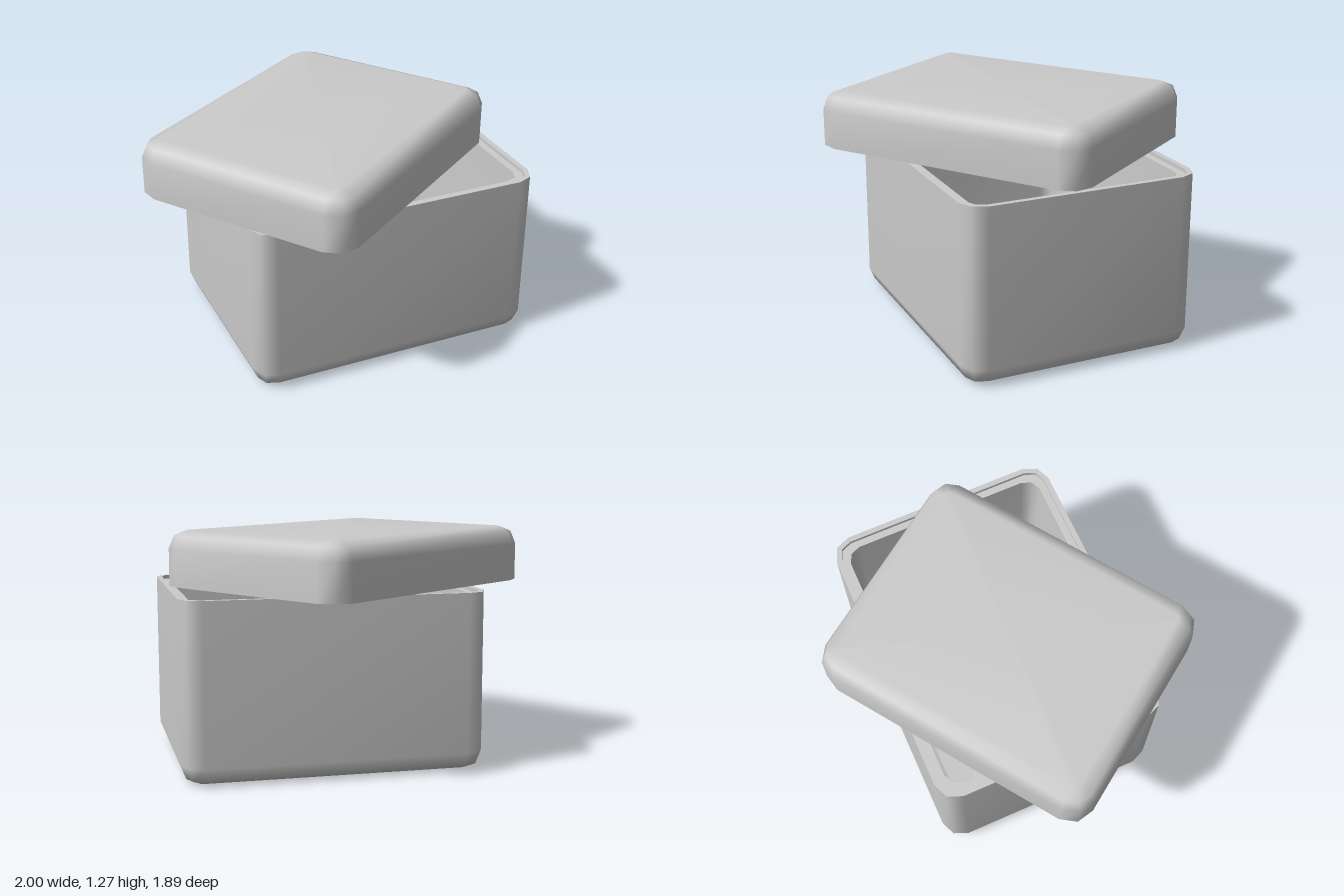
import * as THREE from 'three';
import { mergeGeometries } from 'three/addons/utils/BufferGeometryUtils.js';

// Rounded rectangle of half-size (hw, hd), corner radius r, each corner in two facets
function ring(hw, hd, r, y) {
  const pts = [];
  const signs = [[1, 1], [-1, 1], [-1, -1], [1, -1]];
  signs.forEach(([sx, sz], q) => {
    for (let k = 0; k <= 2; k++) {
      const a = (q + k / 2) * Math.PI / 2;
      pts.push([sx * (hw - r) + r * Math.cos(a), y, sz * (hd - r) + r * Math.sin(a)]);
    }
  });
  return pts;
}

// Smooth band through a list of rings
function loft(rings) {
  const n = rings[0].length, index = [];
  for (let i = 0; i < rings.length - 1; i++) {
    for (let j = 0; j < n; j++) {
      const k = (j + 1) % n;
      const a = i * n + j, b = i * n + k, d = a + n, c = b + n;
      index.push(a, d, b, b, d, c);
    }
  }
  const g = new THREE.BufferGeometry();
  g.setAttribute('position', new THREE.Float32BufferAttribute(rings.flat(2), 3));
  g.setIndex(index);
  g.computeVertexNormals();
  return g;
}

// Hollow tray: closed at y = 0, open at y = h, with a stepped rim
function tray(w, d, h, r, fillet) {
  const wall = 0.07, step = 0.03, drop = 0.02, innerR = 0.08, innerFillet = 0.08;
  const at = (inset, y, rad = Math.max(r - inset, 0.01)) => ring(w / 2 - inset, d / 2 - inset, rad, y);
  const centre = (y) => ring(0, 0, 0, y);
  const f = 1 - Math.SQRT1_2;
  const e = wall + innerFillet;
  const bands = [
    // outer skin
    [centre(0), at(fillet, 0), at(fillet * f, fillet * f), at(0, fillet), at(0, h)],
    // rim and its step
    [at(0, h), at(step, h)],
    [at(step, h), at(step, h - drop)],
    [at(step, h - drop), at(wall, h - drop, innerR)],
    // inner skin
    [at(wall, h - drop, innerR), at(wall, e, innerR),
      at(wall + innerFillet * f, wall + innerFillet * f, innerR * 0.75),
      at(e, wall, 0.01), centre(wall)],
  ];
  return mergeGeometries(bands.map(loft));
}

export function createModel() {
  const group = new THREE.Group();
  const material = new THREE.MeshStandardMaterial({ color: 0xcccccc });

  // Open box
  const box = new THREE.Mesh(tray(1.635, 1.3, 0.965, 0.115, 0.1), material);
  box.name = 'box';
  box.position.set(0.182, 0, -0.003);
  group.add(box);

  // Lid: a shallow tray turned upside down and twisted on top of the box
  const lidGeometry = tray(1.635, 1.295, 0.305, 0.13, 0.1);
  lidGeometry.rotateX(Math.PI);
  const lid = new THREE.Mesh(lidGeometry, material);
  lid.name = 'lid';
  lid.position.set(-0.013, 1.27, 0);
  lid.rotation.y = THREE.MathUtils.degToRad(35);
  group.add(lid);

  return group;
}
